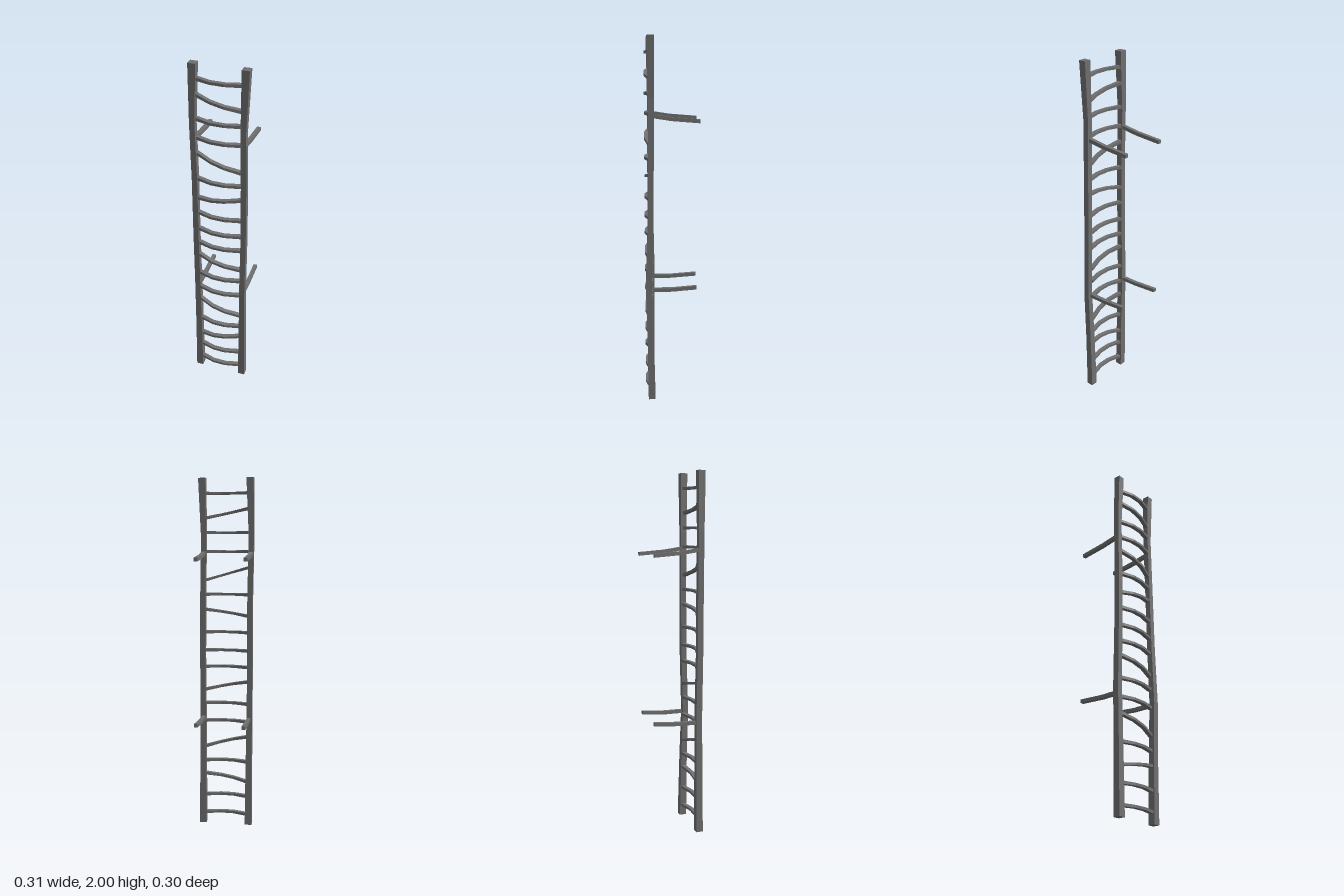
import * as THREE from 'three';

const material = new THREE.MeshStandardMaterial({ color: 0x707070, flatShading: true });
const AXES = { x: [1, 0, 0], y: [0, 1, 0], z: [0, 0, 1] };

// Four-sided beam through stations [x, y, z, sizeU, sizeV]; u cross v points along the beam.
function beam(name, stations, uAxis, vAxis) {
  const u = new THREE.Vector3(...AXES[uAxis]);
  const v = new THREE.Vector3(...AXES[vAxis]);
  const positions = [];
  const index = [];
  for (const [x, y, z, su, sv] of stations) {
    for (const [a, b] of [[-1, -1], [1, -1], [1, 1], [-1, 1]]) {
      const p = new THREE.Vector3(x, y, z)
        .addScaledVector(u, (a * su) / 2)
        .addScaledVector(v, (b * sv) / 2);
      positions.push(p.x, p.y, p.z);
    }
  }
  for (let k = 0; k < stations.length - 1; k++) {
    for (let j = 0; j < 4; j++) {
      const a = k * 4 + j, b = k * 4 + ((j + 1) % 4);
      index.push(a, b, b + 4, a, b + 4, a + 4);
    }
  }
  const e = (stations.length - 1) * 4;
  index.push(0, 3, 2, 0, 2, 1, e, e + 1, e + 2, e, e + 2, e + 3);
  let geometry = new THREE.BufferGeometry();
  geometry.setAttribute('position', new THREE.Float32BufferAttribute(positions, 3));
  geometry.setIndex(index);
  geometry = geometry.toNonIndexed();
  geometry.computeVertexNormals();
  const mesh = new THREE.Mesh(geometry, material);
  mesh.name = name;
  return mesh;
}

export function createModel() {
  const group = new THREE.Group();
  group.name = 'ladder';

  // Slightly crooked rails, thicker at the ends
  group.add(beam('leftRail', [
    [0.136, 0, 0.113, 0.039, 0.04],
    [0.136, 0.35, 0.119, 0.035, 0.034],
    [0.136, 0.65, 0.128, 0.033, 0.031],
    [0.136, 1.0, 0.117, 0.031, 0.03],
    [0.133, 1.35, 0.113, 0.031, 0.03],
    [0.127, 1.68, 0.111, 0.032, 0.029],
    [0.136, 2, 0.113, 0.039, 0.04],
  ], 'z', 'x'));
  group.add(beam('rightRail', [
    [-0.133, 0, 0.113, 0.039, 0.04],
    [-0.134, 0.35, 0.11, 0.035, 0.035],
    [-0.137, 0.67, 0.106, 0.034, 0.031],
    [-0.137, 1.0, 0.111, 0.032, 0.03],
    [-0.136, 1.35, 0.112, 0.032, 0.03],
    [-0.142, 1.68, 0.111, 0.032, 0.029],
    [-0.133, 2, 0.113, 0.039, 0.04],
  ], 'z', 'x'));

  // Rungs bowed to the front: height at the right end and at the left end
  const rungs = [
    [0.062, 0.062], [0.172, 0.172], [0.262, 0.302], [0.382, 0.382], [0.532, 0.467],
    [0.622, 0.622], [0.727, 0.727], [0.857, 0.807], [0.942, 0.942], [1.037, 1.037],
    [1.142, 1.142], [1.237, 1.272], [1.357, 1.357], [1.507, 1.437], [1.597, 1.597],
    [1.702, 1.702], [1.832, 1.782], [1.917, 1.917],
  ];
  const bow = [[-0.123, 0.107, 0.017], [-0.042, 0.133, 0.014], [0.032, 0.135, 0.014], [0.122, 0.115, 0.017]];
  rungs.forEach(([y0, y1], i) => {
    const stations = bow.map(([x, z, h]) =>
      [x, THREE.MathUtils.lerp(y0, y1, (x + 0.12) / 0.24), z, h, 0.024]);
    group.add(beam(`rung${i + 1}`, stations, 'y', 'z'));
  });

  // Wall pegs running back from the rails
  const pegs = [
    ['upperLeftPeg', 0.126, -0.15, [1.588, 1.572, 1.56]],
    ['upperRightPeg', -0.142, -0.15, [1.588, 1.572, 1.56]],
    ['lowerLeftPeg', 0.132, -0.135, [0.64, 0.64, 0.651]],
    ['lowerRightPeg', -0.133, -0.15, [0.64, 0.64, 0.651]],
  ];
  for (const [name, x, zEnd, ys] of pegs) {
    const stations = [0.105, 0, zEnd].map((z, i) => [x, ys[i], z, 0.02, 0.021]);
    group.add(beam(name, stations, 'y', 'x'));
  }
  return group;
}
